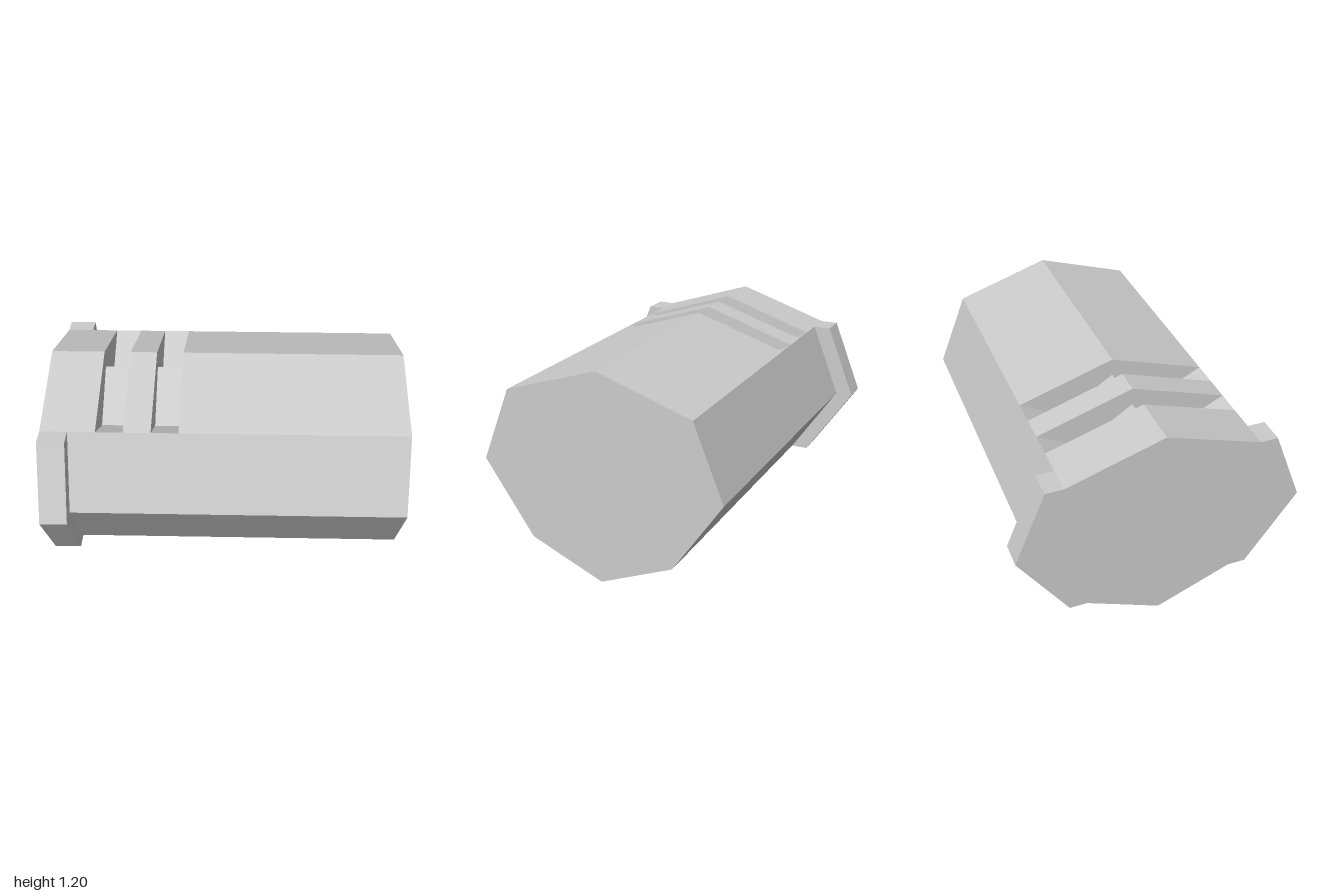
import * as THREE from 'three';

// Half cross-sections as [z, y], from top ridge to bottom ridge; mirrored in z
const BODY = [[0, 1.2], [0.54, 1.025], [0.71, 0.6], [0.425, 0.18], [0, 0]];
const FLANGE = [[0, 1.2], [0.54, 1.025], [0.64, 1.025], [0.81, 0.6], [0.525, 0.18], [0.425, 0.18], [0, 0]];
const GROOVE = [[0, 1.1], [0.3, 0.9], [0.54, 1.025], [0.71, 0.6], [0.425, 0.18], [0.3, 0.3], [0, 0.1]];

// Extrude a mirrored profile along x from x0 to x1
function slice(name, half, x0, x1, material) {
  const mirrored = half.slice(1, -1).reverse().map(([z, y]) => [-z, y]);
  const shape = new THREE.Shape([...half, ...mirrored].map(([z, y]) => new THREE.Vector2(z, y)));
  const geometry = new THREE.ExtrudeGeometry(shape, { depth: x1 - x0, bevelEnabled: false });
  geometry.rotateY(Math.PI / 2);
  geometry.translate(x0, 0, 0);
  const mesh = new THREE.Mesh(geometry, material);
  mesh.name = name;
  return mesh;
}

export function createModel() {
  const group = new THREE.Group();
  group.name = 'groovedBarrel';
  const material = new THREE.MeshStandardMaterial({ color: 0xcccccc, flatShading: true });

  // Consecutive sections along the barrel
  const sections = [
    ['endFlange', FLANGE, -1, -0.85],
    ['collar', BODY, -0.85, -0.7],
    ['outerGroove', GROOVE, -0.7, -0.55],
    ['rib', BODY, -0.55, -0.4],
    ['innerGroove', GROOVE, -0.4, -0.25],
    ['mainBody', BODY, -0.25, 1],
  ];
  for (const [name, half, x0, x1] of sections) group.add(slice(name, half, x0, x1, material));
  return group;
}
